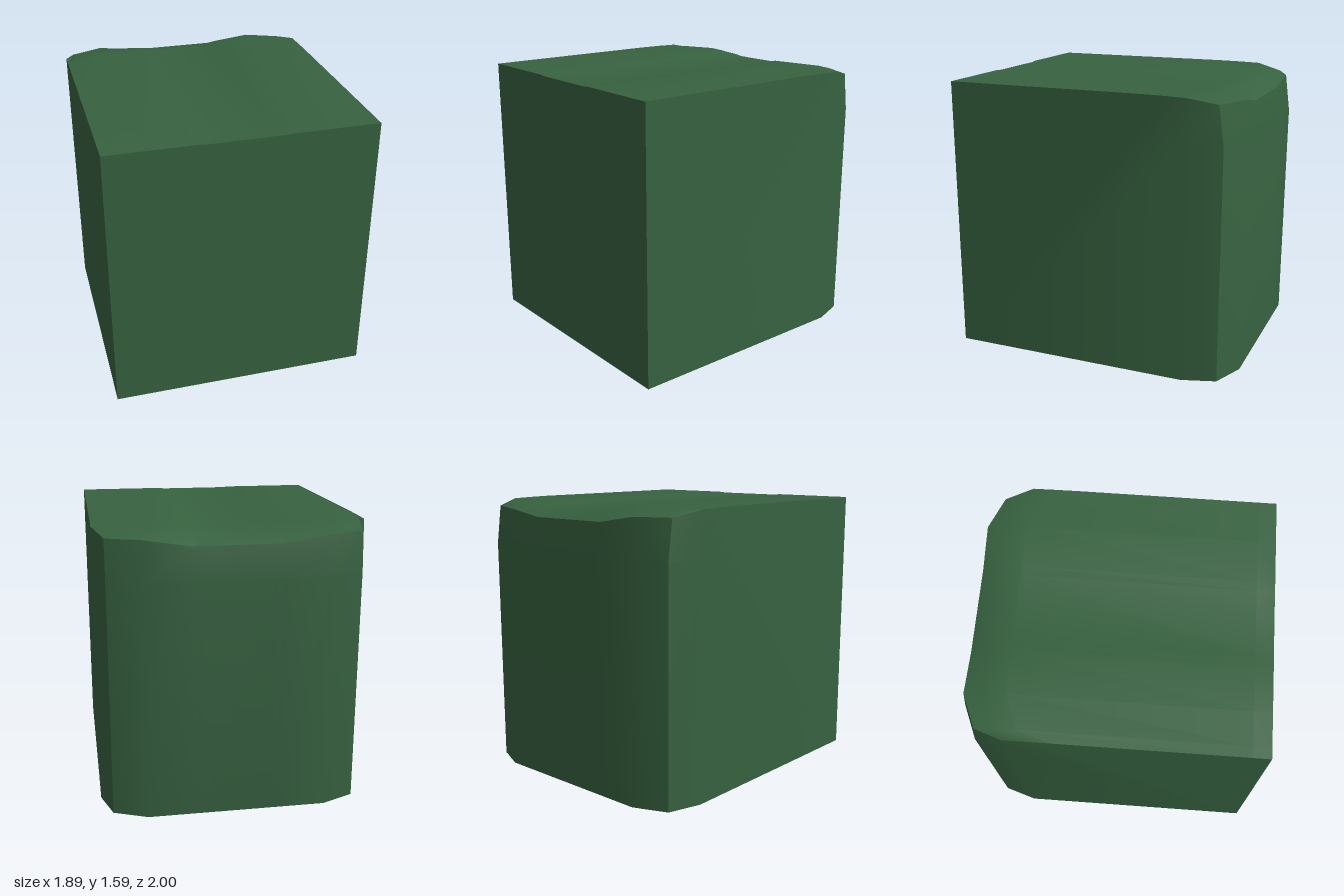
import * as THREE from 'three';
import { toCreasedNormals } from 'three/addons/utils/BufferGeometryUtils.js';

// Columns across the width: [across, depth at the back, top height, height of back rim, rim inset]
const half = [
  [0, 1.40, 1.59, 1.585, 0],
  [0.06, 1.59, 1.59, 1.55, 0.03],
  [0.25, 1.67, 1.59, 1.55, 0.03],
  [0.50, 1.67, 1.59, 1.51, 0.03],
  [0.55, 1.67, 1.578, 1.51, 0.03],
];
const WIDTH = 1.5;
const columns = [...half, ...half.slice().reverse().map(([u, ...rest]) => [WIDTH - u, ...rest])];

// Closed section of one column: up the front, over the top, down the back
function section([u, depth, top, rim, inset]) {
  const drop = top - rim;
  return [
    [0, 0],
    [0, Math.max(top, 1.586)],
    [0.1, top],
    [depth - 0.26, top],
    [depth - 0.13, top - drop * 0.35],
    [depth - inset, rim],
    [depth, 1.33],
    [depth, 0],
  ].map(([d, y]) => new THREE.Vector3(u, y, -d));
}

function blockGeometry() {
  const rings = columns.map(section);
  const pos = [];
  const tri = (a, b, c) => [a, b, c].forEach((p) => pos.push(p.x, p.y, p.z));
  const n = rings[0].length;
  // Skin between neighbouring sections
  for (let i = 0; i < rings.length - 1; i++) {
    const a = rings[i], b = rings[i + 1];
    for (let j = 0; j < n; j++) {
      const k = (j + 1) % n;
      tri(a[j], b[j], b[k]);
      tri(a[j], b[k], a[k]);
    }
  }
  // Flat side walls
  const first = rings[0], last = rings[rings.length - 1];
  for (let j = 1; j < n - 1; j++) {
    tri(first[0], first[j], first[j + 1]);
    tri(last[0], last[j + 1], last[j]);
  }
  const geometry = new THREE.BufferGeometry();
  geometry.setAttribute('position', new THREE.Float32BufferAttribute(pos, 3));
  return toCreasedNormals(geometry, THREE.MathUtils.degToRad(38));
}

export function createModel() {
  const group = new THREE.Group();
  const block = new THREE.Mesh(
    blockGeometry(),
    new THREE.MeshStandardMaterial({ color: 0x376240 })
  );
  block.name = 'roundedBackBlock';
  // Turned about the vertical axis, with the front right corner as pivot
  block.rotation.y = Math.atan2(0.34, 0.94);
  block.position.set(-0.47, 0, 1.0);
  group.add(block);
  return group;
}
